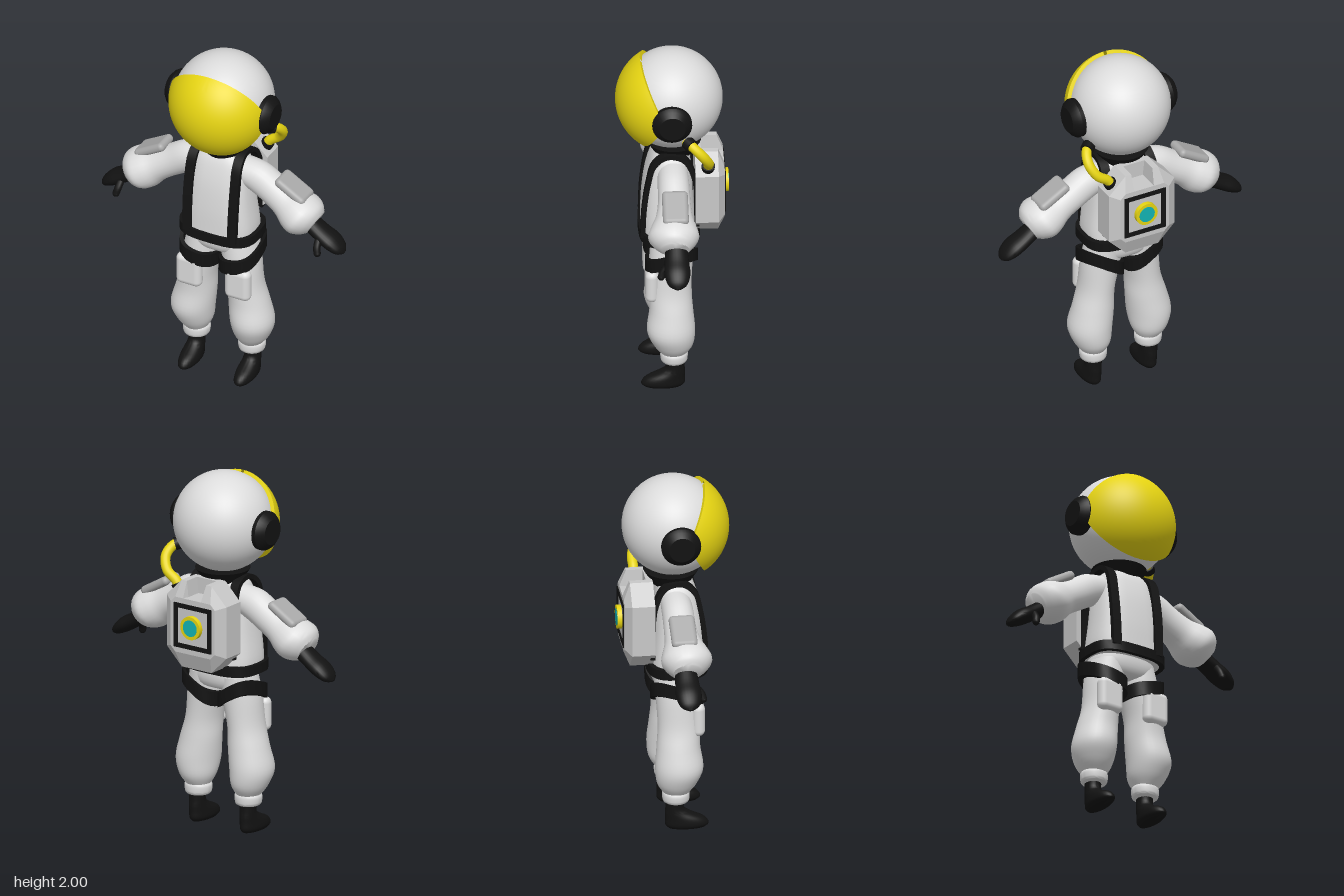
import * as THREE from 'three';
import { toCreasedNormals } from 'three/addons/utils/BufferGeometryUtils.js';
import { RoundedBoxGeometry } from 'three/addons/geometries/RoundedBoxGeometry.js';

const V = (x, y, z) => new THREE.Vector3(x, y, z);
const mat = (name, color) => new THREE.MeshStandardMaterial({ name, color });

// Skin a list of equal-length point loops; winding is fixed by signed volume.
function loft(rings, { caps = true, crease = 0.7 } = {}) {
  const n = rings[0].length, pts = rings.flat(), idx = [];
  for (let i = 0; i < rings.length - 1; i++)
    for (let j = 0; j < n; j++) {
      const a = i * n + j, b = i * n + (j + 1) % n;
      idx.push(a, b, a + n, b, b + n, a + n);
    }
  if (caps) [0, rings.length - 1].forEach((r, end) => {
    const c = pts.length;
    pts.push(rings[r].reduce((s, p) => s.add(p), V(0, 0, 0)).divideScalar(n));
    for (let j = 0; j < n; j++) {
      const a = r * n + j, b = r * n + (j + 1) % n;
      idx.push(c, end ? a : b, end ? b : a);
    }
  });
  let vol = 0;
  for (let i = 0; i < idx.length; i += 3)
    vol += pts[idx[i]].dot(V(0, 0, 0).crossVectors(pts[idx[i + 1]], pts[idx[i + 2]]));
  if (vol < 0) idx.reverse();
  const g = new THREE.BufferGeometry().setFromPoints(pts);
  g.setIndex(idx);
  return toCreasedNormals(g, crease);
}

// Resample rows of numbers along a smooth spline.
function smooth(rows, n) {
  const cols = rows[0].map((_, k) => new THREE.SplineCurve(rows.map((r, i) => new THREE.Vector2(i, r[k]))));
  return Array.from({ length: n + 1 }, (_, i) => cols.map(c => c.getPoint(i / n).y));
}

// Superellipse loop in the horizontal plane; power 1 is a plain ellipse.
function loop(y, xc, rx, zc, rz, power = 1, n = 32) {
  const f = v => Math.sign(v) * Math.abs(v) ** power;
  return Array.from({ length: n }, (_, j) => {
    const a = j / n * Math.PI * 2;
    return V(xc + rx * f(Math.cos(a)), y, zc - rz * f(Math.sin(a)));
  });
}
const column = (rows, n, power) => loft(smooth(rows, n).map(r => loop(...r, power)));

// Flat band following a closed horizontal loop, with height given by a rule.
function band(xc, rx, zc, rz, power, height, thick, yAt) {
  const ring = (d, h) => loop(0, xc, rx + d, zc, rz + d, power, 28).map(p => V(p.x, yAt(p.x, p.z) + h, p.z));
  const o = thick / 2, h = height / 2;
  return loft([ring(o, -h), ring(o, h), ring(-o, h), ring(-o, -h), ring(o, -h)], { caps: false, crease: 0.6 });
}

// Tapered limb pointing down and out; rows are x, y, z, radius, depth radius.
function limb(s, rows, n) {
  return loft(smooth(rows, n).map(([x, y, z, r, rz]) => Array.from({ length: 24 }, (_, j) => {
    const a = j / 24 * Math.PI * 2, c = Math.cos(a) * r;
    return V(s * (x + 0.5 * c), y + 0.87 * c, z + rz * Math.sin(a));
  })));
}

// Curved face shield bounded by two slanting planes, with a short inward rim.
function visorGeometry() {
  const R = 0.295, top = 0.247, nu = 40, nv = 36, pos = [], idx = [];
  for (let i = 0; i <= nv; i++) {
    const y = top * Math.sin((i / nv - 0.5) * Math.PI), r = Math.sqrt(R * R - y * y);
    const edge = Math.acos(Math.min(1, (0.04 + 0.49 * Math.abs(y)) / r));
    for (let j = 0; j <= nu; j++) {
      const rim = j === 0 || j === nu, k = rim ? 0.91 : 1;
      const a = edge * THREE.MathUtils.clamp((j - 1) / (nu - 2) * 2 - 1, -1, 1);
      pos.push(k * r * Math.sin(a), k * y, k * r * Math.cos(a));
      if (i < nv && j < nu) {
        const p = i * (nu + 1) + j, q = p + nu + 1;
        idx.push(p, p + 1, q, p + 1, q + 1, q);
      }
    }
  }
  const g = new THREE.BufferGeometry();
  g.setAttribute('position', new THREE.Float32BufferAttribute(pos, 3));
  g.setIndex(idx);
  return toCreasedNormals(g, 0.7);
}

// Octagonal pack outline with four extra points for the top recess.
function packRing(z, hw, hh, cut, recess) {
  const y = 1.187, t = y + hh;
  return [[hw, y - hh + cut], [hw, t - cut], [hw - cut, t], [0.065, t], [0.055, t - recess], [-0.055, t - recess],
    [-0.065, t], [cut - hw, t], [-hw, t - cut], [-hw, y - hh + cut], [cut - hw, y - hh], [hw - cut, y - hh]]
    .map(([a, b]) => V(a, b, z));
}

export function createModel() {
  const model = new THREE.Group();
  model.name = 'astronaut';
  const white = mat('suit white', 0xdcdcdc), grey = mat('patch grey', 0xa9a9a9), shell = mat('pack grey', 0xc8c8c8);
  const black = mat('black', 0x121212), yellow = mat('yellow', 0xe6d412), cyan = mat('cyan', 0x12b4b4);
  const visorMat = mat('visor yellow', 0xe6d412);
  visorMat.side = THREE.DoubleSide;
  const add = (name, geo, material, x = 0, y = 0, z = 0) => {
    const m = new THREE.Mesh(geo, material);
    m.name = name;
    m.position.set(x, y, z);
    model.add(m);
    return m;
  };

  // Helmet
  add('helmet', new THREE.SphereGeometry(0.275, 48, 32), white, 0, 1.725, 0);
  add('visor', visorGeometry(), visorMat, 0, 1.718, 0.01);
  add('collar', new THREE.CylinderGeometry(0.15, 0.1, 0.08, 32), black, 0, 1.425, -0.01);

  // Torso, hips and belt: y, x, half width, z, half depth
  add('torso', column([[0.9, 0, 0.2, 0.02, 0.15], [0.97, 0, 0.205, 0.022, 0.147], [1.1, 0, 0.19, 0.025, 0.14],
    [1.25, 0, 0.172, 0.02, 0.128], [1.37, 0, 0.15, 0.01, 0.105], [1.43, 0, 0.1, 0, 0.08]], 20, 0.7), white);
  add('hips', column([[0.92, 0, 0.185, 0.005, 0.13], [0.86, 0, 0.195, 0.005, 0.13], [0.81, 0, 0.17, 0.005, 0.11],
    [0.79, 0, 0.1, 0.005, 0.06]], 9, 0.85), white);
  add('belt', band(0, 0.215, 0.015, 0.155, 0.65, 0.055, 0.025, () => 0.925), black);

  for (const s of [1, -1]) {
    const side = s > 0 ? 'left' : 'right';
    const part = (name, ...rest) => add(side + name, ...rest);

    // Ear disc
    const ear = toCreasedNormals(new THREE.LatheGeometry([[0, -0.07], [0.105, -0.07], [0.108, 0.01], [0.095, 0.03],
      [0.07, 0.05], [0, 0.05]].map(p => new THREE.Vector2(...p)), 32), 0.5);
    part('EarDisc', ear, black, s * 0.27, 1.715, 0.01).rotation.z = -s * Math.PI / 2;

    // Shoulder strap
    const path = new THREE.CatmullRomCurve3([V(0.135, 0.93, 0.162), V(0.138, 1.1, 0.155), V(0.138, 1.27, 0.132),
      V(0.135, 1.38, 0.1), V(0.13, 1.43, 0.03), V(0.135, 1.41, -0.06), V(0.145, 1.3, -0.115), V(0.145, 1.0, -0.13)]);
    part('ShoulderStrap', loft(Array.from({ length: 31 }, (_, i) => {
      const p = path.getPoint(i / 30), t = path.getTangent(i / 30);
      return [[-1, -1], [1, -1], [1, 1], [-1, 1]].map(([a, b]) =>
        V(s * (p.x + a * 0.026), p.y + b * 0.013 * t.z, p.z - b * 0.013 * t.y));
    }), { crease: 0.6 }), black);

    // Arm, patch and glove
    part('Arm', limb(s, [[0.08, 1.32, 0, 0.08, 0.08], [0.2, 1.295, 0, 0.09, 0.085], [0.3, 1.24, 0, 0.088, 0.088],
      [0.38, 1.195, 0.005, 0.092, 0.1], [0.44, 1.16, 0.01, 0.112, 0.126], [0.49, 1.135, 0.012, 0.115, 0.138],
      [0.535, 1.115, 0.01, 0.1, 0.11], [0.56, 1.1, 0.005, 0.07, 0.075]], 28), white);
    part('ArmPatch', new RoundedBoxGeometry(0.2, 0.05, 0.14, 4, 0.024), grey, s * 0.427, 1.283, 0).rotation.z = -s * 0.53;
    part('Glove', limb(s, [[0.53, 1.09, 0, 0.045, 0.06], [0.6, 1.045, 0, 0.042, 0.066], [0.66, 1.01, 0, 0.042, 0.07],
      [0.71, 0.975, 0, 0.028, 0.052], [0.733, 0.958, 0, 0.006, 0.015]], 16), black);
    const thumb = new THREE.CatmullRomCurve3([V(s * 0.6, 1.04, 0.04), V(s * 0.605, 0.995, 0.075), V(s * 0.612, 0.965, 0.085)]);
    part('Thumb', new THREE.TubeGeometry(thumb, 10, 0.02, 12), black);
    part('ThumbTip', new THREE.SphereGeometry(0.02, 12, 8), black, s * 0.612, 0.965, 0.085);

    // Leg, knee pad, cuff, harness and boot
    part('Leg', column([[0.88, s * 0.1, 0.095, 0, 0.118], [0.76, s * 0.115, 0.106, 0.01, 0.118],
      [0.6, s * 0.14, 0.098, 0.015, 0.115], [0.48, s * 0.16, 0.112, 0.01, 0.118], [0.36, s * 0.18, 0.12, 0.012, 0.13],
      [0.27, s * 0.174, 0.1, 0, 0.108], [0.21, s * 0.168, 0.064, -0.003, 0.068]], 28), white);
    part('KneePad', new RoundedBoxGeometry(0.15, 0.19, 0.07, 5, 0.034), white, s * 0.148, 0.64, 0.115);
    part('Cuff', column([[0.155, s * 0.168, 0.06, -0.005, 0.06], [0.167, s * 0.168, 0.072, -0.005, 0.072],
      [0.205, s * 0.168, 0.076, -0.005, 0.074], [0.225, s * 0.168, 0.064, -0.005, 0.066]], 12), white);
    part('LegHarness', band(s * 0.119, 0.106, 0.007, 0.133, 0.8, 0.08, 0.02,
      (x, z) => 0.72 + Math.abs(x) / 0.23 * (0.1 - 0.35 * z)), black);
    part('Boot', column([[0, s * 0.17, 0.04, 0.055, 0.1], [0.02, s * 0.17, 0.053, 0.055, 0.118],
      [0.055, s * 0.17, 0.053, 0.042, 0.106], [0.09, s * 0.17, 0.047, 0.005, 0.07],
      [0.12, s * 0.17, 0.044, -0.012, 0.05], [0.17, s * 0.17, 0.044, -0.012, 0.05]], 18), black);
  }

  // Backpack with top recess, framed panel and dial
  add('backpack', loft([packRing(-0.12, 0.2, 0.245, 0.1, 0), packRing(-0.155, 0.2, 0.245, 0.1, 0),
    packRing(-0.155, 0.2, 0.245, 0.1, 0.09), packRing(-0.245, 0.2, 0.245, 0.1, 0.09),
    packRing(-0.28, 0.148, 0.155, 0.03, 0)], { crease: 0.1 }), shell);
  const square = (o, h) => o.moveTo(-h, -h).lineTo(h, -h).lineTo(h, h).lineTo(-h, h).closePath();
  const frame = square(new THREE.Shape(), 0.125);
  frame.holes.push(square(new THREE.Path(), 0.1));
  add('panelFrame', new THREE.ExtrudeGeometry(frame, { depth: 0.009, bevelEnabled: false }), black, 0, 1.187, -0.286);
  add('dial', new THREE.CylinderGeometry(0.065, 0.065, 0.035, 32), yellow, 0, 1.19, -0.2875).rotation.x = Math.PI / 2;
  add('dialFace', new THREE.CylinderGeometry(0.046, 0.046, 0.006, 32), cyan, 0, 1.19, -0.304).rotation.x = Math.PI / 2;

  // Air hose with end fittings
  const hose = new THREE.CatmullRomCurve3([V(0.22, 1.58, -0.065), V(0.262, 1.56, -0.105), V(0.275, 1.51, -0.155),
    V(0.24, 1.445, -0.188), V(0.18, 1.4, -0.19), V(0.155, 1.36, -0.188)]);
  add('airHose', new THREE.TubeGeometry(hose, 40, 0.027, 16), yellow);
  [[0.1, 0.04], [0.95, 0.04]].forEach(([t, len], i) => {
    const p = hose.getPoint(t);
    const m = add(i ? 'lowerHoseFitting' : 'upperHoseFitting', new THREE.CylinderGeometry(0.036, 0.036, len, 20), black, p.x, p.y, p.z);
    m.quaternion.setFromUnitVectors(V(0, 1, 0), hose.getTangent(t));
  });
  return model;
}
